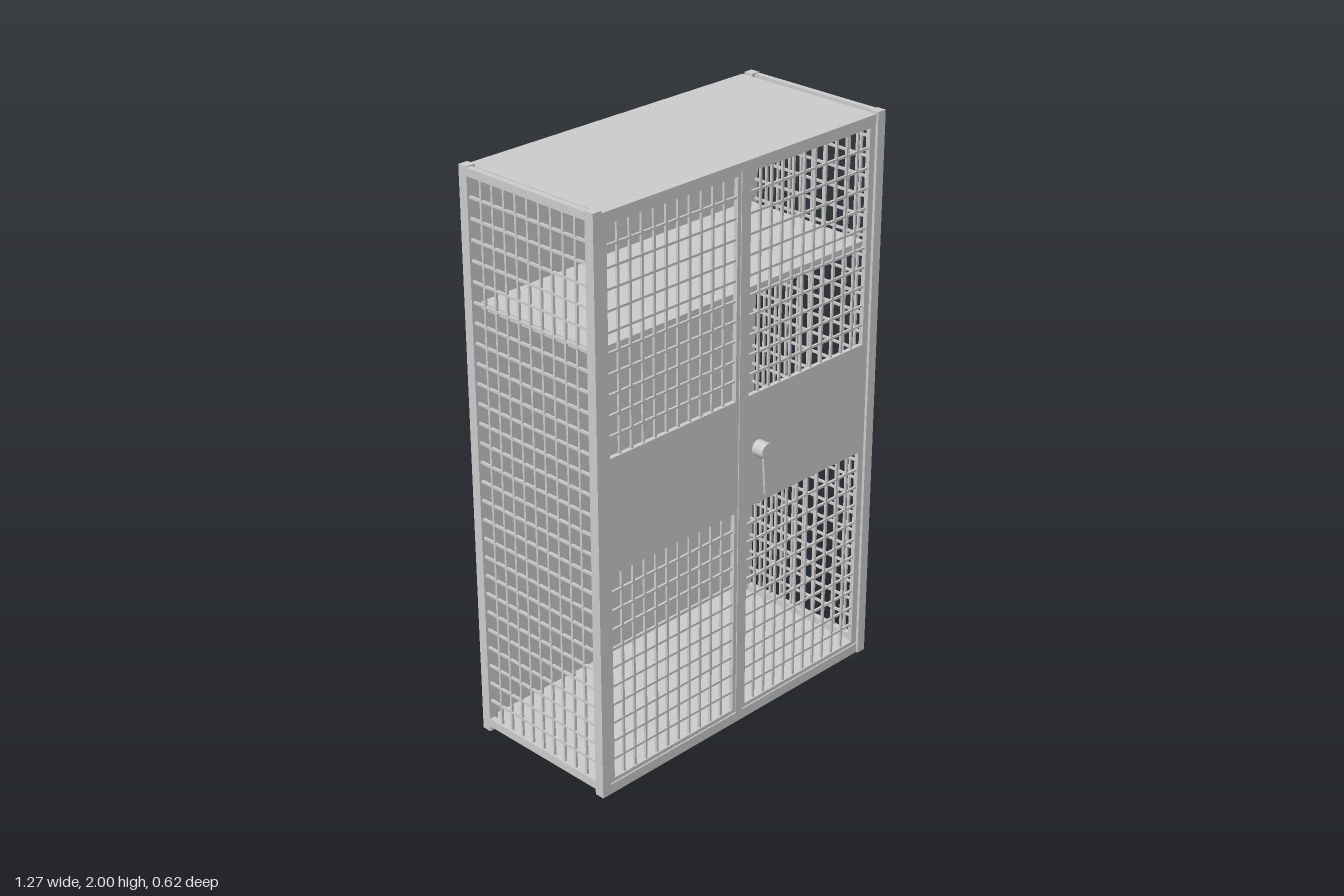
import * as THREE from 'three';

const material = new THREE.MeshStandardMaterial({ color: 0xcccccc, flatShading: true });

// Box given by its minimum and maximum along each axis
function box(parent, name, x0, x1, y0, y1, z0, z1) {
  const mesh = new THREE.Mesh(new THREE.BoxGeometry(x1 - x0, y1 - y0, z1 - z0), material);
  mesh.position.set((x0 + x1) / 2, (y0 + y1) / 2, (z0 + z1) / 2);
  mesh.name = name;
  parent.add(mesh);
  return mesh;
}

// Wire grid in the XY plane, cells of about 0.05 x 0.068
function wireGrid(name, x0, x1, y0, y1, z) {
  const grid = new THREE.Group();
  grid.name = name;
  const r = 0.004;
  const columns = Math.round((x1 - x0) / 0.05);
  const rows = Math.round((y1 - y0) / 0.068);
  for (let i = 1; i < columns; i++) {
    const x = x0 + ((x1 - x0) * i) / columns;
    box(grid, 'verticalWire', x - r, x + r, y0, y1, z - r, z + r);
  }
  for (let j = 1; j < rows; j++) {
    const y = y0 + ((y1 - y0) * j) / rows;
    box(grid, 'horizontalWire', x0, x1, y - r, y + r, z - r, z + r);
  }
  return grid;
}

// Sheet with lips folded down on all four edges
function tray(name, x, y0, y1, z0, z1) {
  const group = new THREE.Group();
  group.name = name;
  const t = 0.008;
  box(group, 'sheet', -x, x, y1 - t, y1, z0, z1);
  box(group, 'frontLip', -x, x, y0, y1 - t, z1 - t, z1);
  box(group, 'backLip', -x, x, y0, y1 - t, z0, z0 + t);
  for (const s of [-1, 1]) {
    const a = s * x, b = s * (x - t);
    box(group, 'sideLip', Math.min(a, b), Math.max(a, b), y0, y1 - t, z0 + t, z1 - t);
  }
  return group;
}

// Side frame: two posts, two rails and a full-height wire grid
function sideFrame(name, side, zShift) {
  const group = new THREE.Group();
  group.name = name;
  const span = (a, b) => (side > 0 ? [a, b] : [-b, -a]);
  const post = span(0.6, 0.635), rail = span(0.614, 0.635);
  box(group, 'frontPost', ...post, 0, 2, 0.24, 0.275);
  box(group, 'backPost', ...post, 0, 2, -0.305, -0.27);
  box(group, 'topRail', ...rail, 1.97, 1.997, -0.27, 0.24);
  box(group, 'bottomRail', ...rail, 0.02, 0.05, -0.27, 0.24);
  const grid = wireGrid('sideGrid', -0.24, 0.27, 0.05, 1.97, 0);
  grid.rotation.y = Math.PI / 2;
  grid.position.x = side * 0.624;
  group.add(grid);
  group.position.z = zShift;
  return group;
}

function rectanglePath(PathType, x0, x1, y0, y1) {
  return new PathType([[x0, y0], [x1, y0], [x1, y1], [x0, y1]].map(([x, y]) => new THREE.Vector2(x, y)));
}

// Door leaf: one sheet with two openings filled with wire grid
function door(name, x0, x1, hole0, hole1) {
  const group = new THREE.Group();
  group.name = name;
  const shape = rectanglePath(THREE.Shape, x0, x1, 0.038, 1.962);
  const openings = [[0.052, 0.8], [1.2, 1.95]];
  for (const [y0, y1] of openings) {
    shape.holes.push(rectanglePath(THREE.Path, hole0, hole1, y0, y1));
    group.add(wireGrid('doorGrid', hole0, hole1, y0, y1, 0.256));
  }
  const leaf = new THREE.Mesh(
    new THREE.ExtrudeGeometry(shape, { depth: 0.016, bevelEnabled: false }), material);
  leaf.position.z = 0.249;
  leaf.name = 'doorLeaf';
  group.add(leaf);
  return group;
}

// Round boss with a thin tapered lever hanging from it
function handle() {
  const group = new THREE.Group();
  group.name = 'handle';
  const smooth = new THREE.MeshStandardMaterial({ color: 0xcccccc });
  const boss = new THREE.Mesh(new THREE.CylinderGeometry(0.028, 0.028, 0.046, 32), smooth);
  boss.rotation.x = Math.PI / 2;
  boss.position.z = 0.287;
  boss.name = 'handleBoss';
  const outline = new THREE.Shape();
  outline.moveTo(-0.02, -0.01);
  outline.lineTo(-0.01, -0.15);
  outline.lineTo(0.01, -0.15);
  outline.lineTo(0.02, -0.01);
  const lever = new THREE.Mesh(
    new THREE.ExtrudeGeometry(outline, { depth: 0.008, bevelEnabled: false }), material);
  lever.position.z = 0.302;
  lever.name = 'handleLever';
  group.add(boss, lever);
  group.position.set(0.073, 1.003, 0);
  return group;
}

export function createModel() {
  const model = new THREE.Group();
  model.name = 'cabinet';

  // Side frames, one set slightly further back than the other
  model.add(sideFrame('leftSide', 1, 0), sideFrame('rightSide', -1, -0.007));

  // Horizontal sheets and the solid back
  model.add(tray('topPanel', 0.6, 1.962, 1.992, -0.305, 0.268));
  model.add(tray('bottomPanel', 0.6, 0, 0.036, -0.305, 0.268));
  model.add(tray('shelf', 0.6, 1.53, 1.555, -0.275, 0.236));
  box(model, 'backPanel', -0.6, 0.6, 0, 1.992, -0.313, -0.305);

  // Doors, the strip between them and the handle
  model.add(door('rightDoor', -0.6, -0.018, -0.58, -0.033));
  model.add(door('leftDoor', 0.012, 0.6, 0.026, 0.575));
  box(model, 'centreStrip', -0.018, 0.012, 0.036, 1.962, 0.246, 0.268);
  model.add(handle());

  return model;
}
